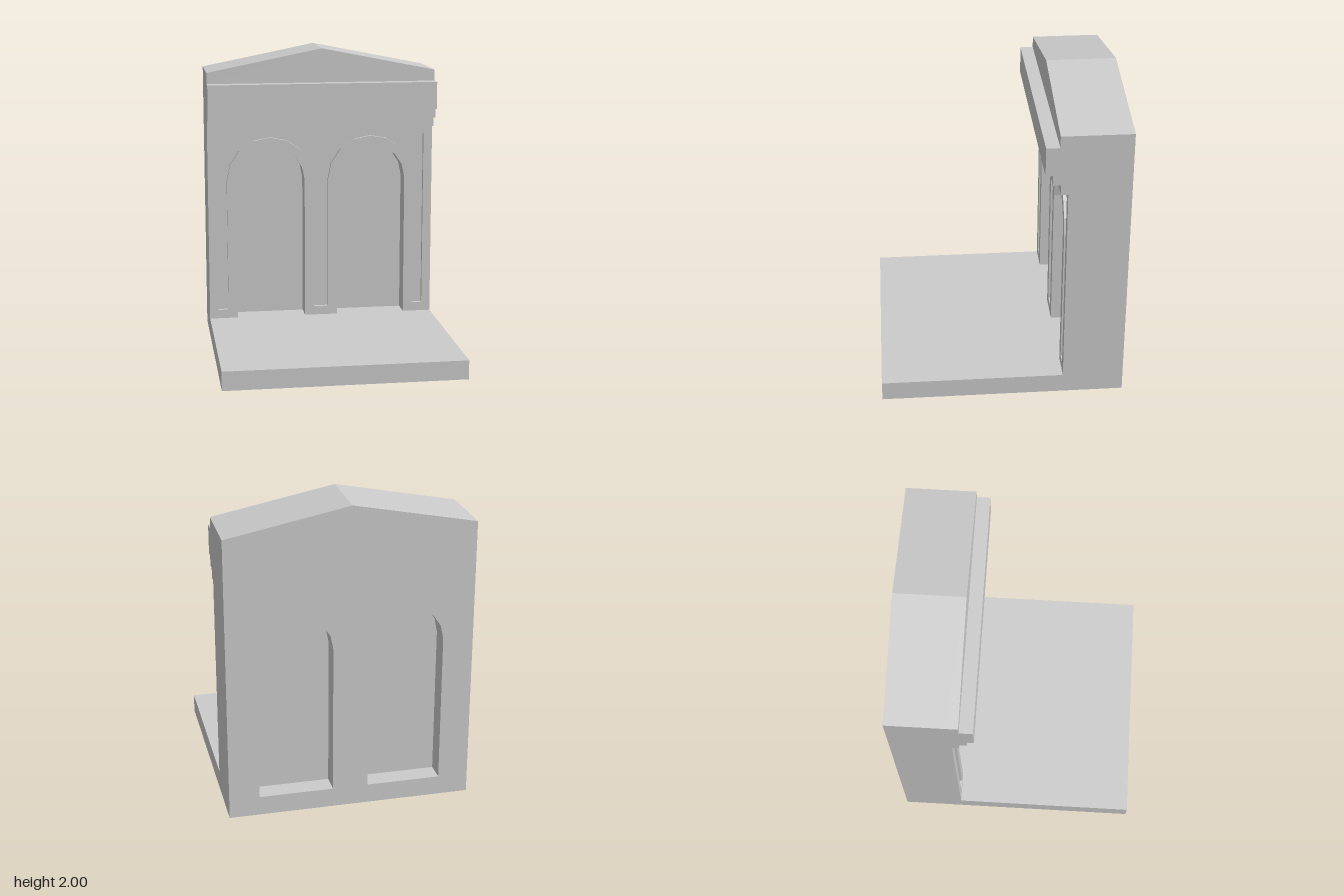
import * as THREE from 'three';

const HALF = 0.78;      // half width and half depth of the model
const FLOOR = 0.125;    // top of the floor slab
const SPRING = 1.09;    // height where the arches begin to curve
const ARCH_X = 0.35;    // distance of each arch from the middle
const BACK = -HALF, GROOVE = -0.415, FRONT = -0.39, GABLE = -0.335;

const material = new THREE.MeshStandardMaterial({ color: 0xcccccc, flatShading: true });
const v = (x, y) => new THREE.Vector2(x, y);
const shapeOf = (pairs) => new THREE.Shape(pairs.map(([x, y]) => v(x, y)));

// Outline of a round-headed arch, from bottom left over the top to bottom right
function archPoints(cx, radius, bottom) {
  const points = [v(cx - radius, bottom)];
  for (let i = 0; i <= 8; i++) {
    const a = Math.PI * (1 - i / 8);
    points.push(v(cx + radius * Math.cos(a), SPRING + radius * Math.sin(a)));
  }
  points.push(v(cx + radius, bottom));
  return points;
}

function addMesh(group, name, geometry) {
  const mesh = new THREE.Mesh(geometry, material);
  mesh.name = name;
  group.add(mesh);
}

// Extrude a front-facing shape between two depths
function slab(shape, z0, z1) {
  return new THREE.ExtrudeGeometry(shape, { depth: z1 - z0, bevelEnabled: false }).translate(0, 0, z0);
}

export function createModel() {
  const group = new THREE.Group();
  group.name = 'archedFacade';
  const openings = [-ARCH_X, ARCH_X].map((x) => archPoints(x, 0.237, FLOOR));

  // Floor slab in front of the wall
  addMesh(group, 'floor', new THREE.BoxGeometry(2 * HALF, FLOOR, HALF - FRONT)
    .translate(0, FLOOR / 2, (HALF + FRONT) / 2));

  // Gabled wall with two arched openings
  const wall = shapeOf([[-HALF, 0], [HALF, 0], [HALF, 1.845], [0, 2], [-HALF, 1.845]]);
  openings.forEach((points) => wall.holes.push(new THREE.Path(points)));
  addMesh(group, 'wall', slab(wall, BACK, GROOVE));

  // Thin front layer: the sunk field leaves the raised border and arch surrounds
  const facing = shapeOf([[-HALF, 0], [HALF, 0], [HALF, 1.6], [-HALF, 1.6]]);
  openings.forEach((points) => facing.holes.push(new THREE.Path(points)));
  const field = [
    v(-0.72, 0.185),
    ...archPoints(-ARCH_X, 0.3, 0.185),
    ...archPoints(ARCH_X, 0.3, 0.185),
    v(0.72, 0.185), v(0.72, 1.4), v(-0.72, 1.4),
  ];
  facing.holes.push(new THREE.Path(field));
  addMesh(group, 'archSurrounds', slab(facing, GROOVE, FRONT));

  // Closed panels set back within the arches
  openings.forEach((points, i) => {
    addMesh(group, i ? 'leftArchPanel' : 'rightArchPanel', slab(new THREE.Shape(points), -0.65, -0.525));
  });

  // Stepped cornice, its profile drawn as depth against height
  const profile = shapeOf([
    [GROOVE, 1.455], [-0.345, 1.455], [-0.345, 1.52], [-0.295, 1.52], [-0.295, 1.585],
    [-0.25, 1.585], [-0.25, 1.77], [GROOVE, 1.77],
  ]);
  addMesh(group, 'cornice', slab(profile, -HALF, HALF).rotateY(-Math.PI / 2));

  // Pediment standing on the cornice
  const pediment = shapeOf([[-HALF, 1.77], [HALF, 1.77], [HALF, 1.845], [0, 2], [-HALF, 1.845]]);
  addMesh(group, 'pediment', slab(pediment, GROOVE, GABLE));

  return group;
}
